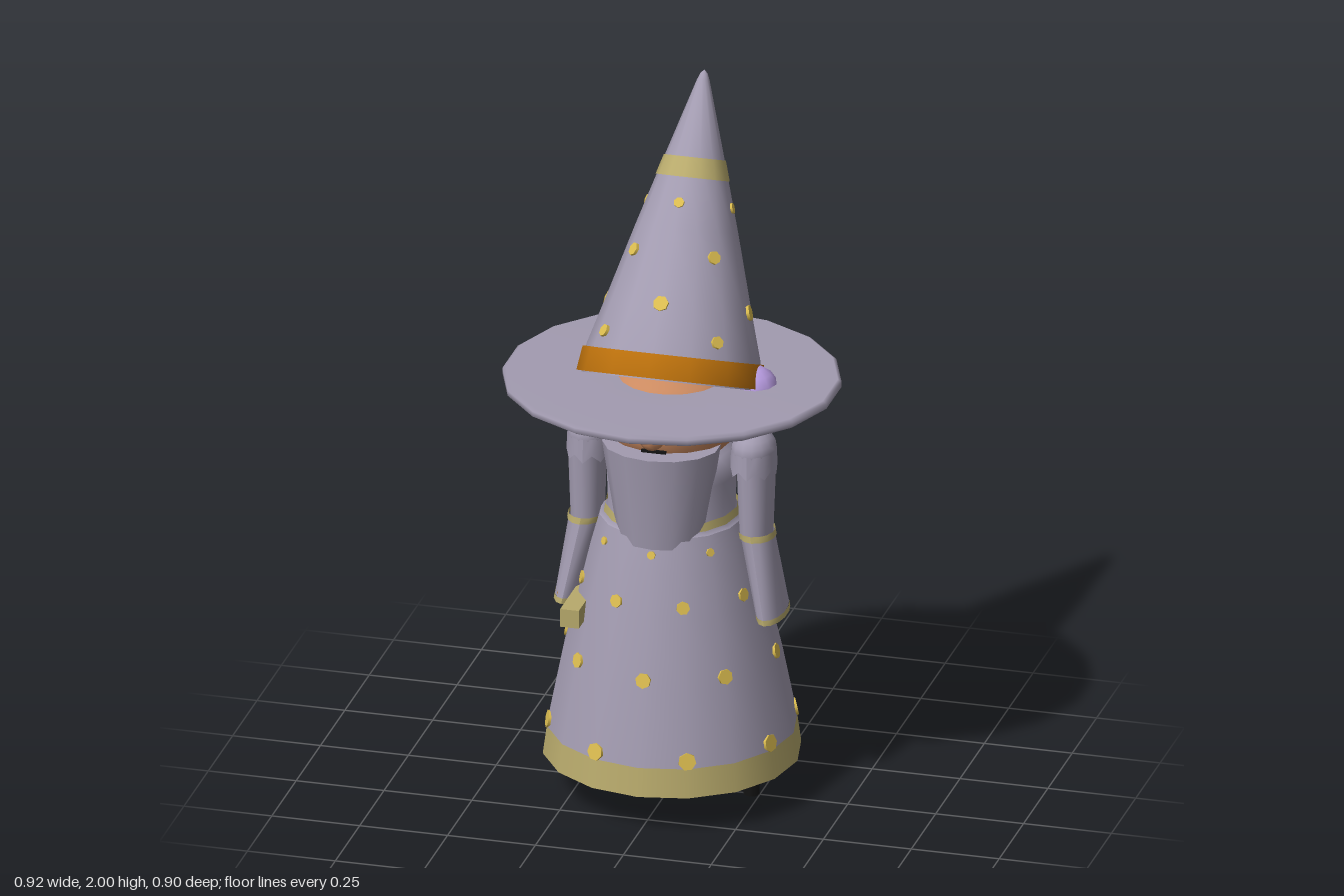
import * as THREE from 'three';

const mat = (name, color, side = THREE.DoubleSide) => {
  const m = new THREE.MeshStandardMaterial({ color, side });
  m.name = name;
  return m;
};

export function createModel() {
  const cloth = mat('greyCloth', 0xa29bb0);
  const trim = mat('paleGoldTrim', 0xb8aa6c);
  const yellow = mat('yellowDots', 0xdcbd50);
  const leather = mat('orangeBand', 0xb96f0c);
  const skin = mat('skin', 0xcb8a60);
  const black = mat('black', 0x131313);
  const purple = mat('purpleOrb', 0xb79be0);
  const blue = mat('blueEyes', 0x7fa0c8);

  const root = new THREE.Group();
  const add = (name, geo, material, parent = root, x = 0, y = 0, z = 0) => {
    const m = new THREE.Mesh(geo, material);
    m.name = name;
    m.position.set(x, y, z);
    parent.add(m);
    return m;
  };
  const lathe = (pts, seg) => new THREE.LatheGeometry(pts.map(p => new THREE.Vector2(p[0], p[1])), seg);
  // radius of a profile (bottom to top) at height y
  const radiusAt = (pts, y) => {
    for (let i = 1; i < pts.length; i++) {
      const [r0, y0] = pts[i - 1], [r1, y1] = pts[i];
      if (y <= y1) return r0 + (r1 - r0) * (y - y0) / (y1 - y0);
    }
    return pts[pts.length - 1][0];
  };
  // ring of thin round dots lying on a lathed surface
  const dotRing = (name, profile, y, count, offset, size, parent) => {
    const r = radiusAt(profile, y);
    const slope = (radiusAt(profile, y - 0.02) - radiusAt(profile, y + 0.02)) / 0.04;
    for (let i = 0; i < count; i++) {
      const a = offset + i / count * Math.PI * 2;
      const dot = add(name, new THREE.CylinderGeometry(size, size, 0.009, 7), yellow, parent,
        Math.sin(a) * (r - 0.001), y, Math.cos(a) * (r - 0.001));
      const n = new THREE.Vector3(Math.sin(a), slope, Math.cos(a)).normalize();
      dot.quaternion.setFromUnitVectors(new THREE.Vector3(0, 1, 0), n);
    }
  };

  // robe: open skirt, hem, belt and bodice
  const skirt = [[0.346, 0.195], [0.305, 0.4], [0.257, 0.6], [0.228, 0.72], [0.2, 0.82]];
  add('skirt', lathe(skirt, 16), cloth);
  add('hem', lathe([[0.357, 0.113], [0.346, 0.195]], 16), trim);
  add('bodice', lathe([[0.2, 0.82], [0.176, 0.84], [0.18, 0.95], [0.165, 1.02], [0.08, 1.05]], 16), cloth);
  add('belt', lathe([[0.19, 0.822], [0.184, 0.853]], 16), trim);
  dotRing('skirtDot', skirt, 0.775, 8, 0, 0.012, root);
  dotRing('skirtDot', skirt, 0.635, 8, Math.PI / 8, 0.019, root);
  dotRing('skirtDot', skirt, 0.435, 8, 0, 0.022, root);
  dotRing('skirtDot', skirt, 0.216, 8, Math.PI / 8, 0.025, root);

  // head and face
  const head = add('head', new THREE.SphereGeometry(0.2, 18, 12), skin, root, 0, 1.13, 0);
  head.scale.y = 0.77;
  add('nose', new THREE.SphereGeometry(0.037, 12, 8), skin, root, 0, 1.125, 0.205);
  add('mouth', new THREE.BoxGeometry(0.07, 0.008, 0.008), black, root, 0, 1.076, 0.189);
  for (const s of [1, -1]) {
    const eye = new THREE.Group();
    eye.name = 'eye';
    eye.position.set(s * 0.067, 1.165, 0.184);
    eye.rotation.y = s * 0.35;
    root.add(eye);
    add('iris', new THREE.BoxGeometry(0.038, 0.032, 0.009), blue, eye);
    add('pupil', new THREE.BoxGeometry(0.014, 0.016, 0.009), black, eye, 0, 0, 0.002);
    const brow = add('eyebrow', new THREE.BoxGeometry(0.08, 0.016, 0.02), cloth, root, s * 0.07, 1.196, 0.18);
    brow.rotation.set(0, s * 0.35, s * 0.2);
  }
  const beard = add('beard', new THREE.CylinderGeometry(0.165, 0.122, 0.28, 14), cloth, root, 0, 0.93, 0.108);
  beard.scale.z = 0.83;

  // flat wide brim
  const brim = add('hatBrim', lathe([[0.12, 1.209], [0.44, 1.205], [0.45, 1.211], [0.45, 1.226],
    [0.44, 1.233], [0.12, 1.231]], 18), cloth);
  brim.scale.x = 1.04;

  // leaning cone of the hat with its band, stripe and dots
  const hat = new THREE.Group();
  hat.name = 'hat';
  hat.position.y = 1.25;
  hat.rotation.x = -24 * Math.PI / 180;
  root.add(hat);
  const cone = [[0.246, -0.04], [0.24, 0.04], [0.203, 0.165], [0.142, 0.38], [0.088, 0.56],
    [0.018, 0.79], [0.01, 0.81], [0, 0.82]];
  add('hatCone', lathe(cone, 14), cloth, hat);
  add('hatBand', lathe([[0.246, -0.036], [0.26, -0.036], [0.25, 0.032], [0.238, 0.032]], 14), leather, hat);
  add('hatStripe', lathe([0.522, 0.56, 0.578].map(t => [radiusAt(cone, t) + 0.003, t]), 14), trim, hat);
  dotRing('hatDot', cone, 0.17, 4, 0, 0.022, hat);
  dotRing('hatDot', cone, 0.31, 4, Math.PI / 4, 0.019, hat);
  dotRing('hatDot', cone, 0.45, 4, 0, 0.015, hat);
  dotRing('hatDot', cone, 0.08, 4, Math.PI / 4, 0.018, hat);

  // flared, outward-leaning sleeve section between two heights
  const sleeve = (y0, y1, s, grow = 0) => {
    const g = new THREE.CylinderGeometry(1, 1, 1, 14, 1, true);
    const p = g.attributes.position;
    for (let i = 0; i < p.count; i++) {
      const y = p.getY(i) > 0 ? y1 : y0;
      const k = (0.785 - y) / 0.235;
      p.setXYZ(i, s * (0.243 + 0.045 * k) + p.getX(i) * (0.047 - 0.008 * k + grow), y,
        p.getZ(i) * (0.064 + 0.033 * k + grow));
    }
    g.computeVertexNormals();
    return g;
  };

  for (const s of [1, -1]) {
    const arm = new THREE.Group();
    arm.name = s > 0 ? 'leftArm' : 'rightArm';
    root.add(arm);
    // puffed shoulder with scalloped edge
    const ball = add('shoulder', new THREE.SphereGeometry(0.062, 14, 10), cloth, arm, s * 0.233, 1.035, 0);
    ball.scale.z = 1.2;
    const scallop = new THREE.CylinderGeometry(0.062, 0.064, 0.06, 16, 1, true);
    const p = scallop.attributes.position;
    for (let i = 0; i < p.count; i++) {
      if (p.getY(i) < 0) p.setY(i, i % 2 ? -0.04 : -0.018);
    }
    scallop.computeVertexNormals();
    add('shoulderScallop', scallop, cloth, arm, s * 0.233, 1.005, 0).scale.z = 1.2;
    const upper = add('upperArm', new THREE.CylinderGeometry(0.054, 0.046, 0.22, 14), cloth, arm, s * 0.24, 0.895, 0);
    upper.scale.z = 1.3;
    add('cuff', sleeve(0.778, 0.796, s, 0.004), trim, arm);
    add('sleeve', sleeve(0.562, 0.785, s), cloth, arm);
    add('sleeveHem', sleeve(0.548, 0.563, s, 0.001), trim, arm);
    const lining = add('sleeveLining', new THREE.CylinderGeometry(1, 1, 0.006, 14), leather, arm, s * 0.286, 0.57, 0);
    lining.scale.set(0.037, 1, 0.092);

    // leg and wedge-shaped shoe
    add('leg', new THREE.BoxGeometry(0.1, 0.25, 0.1), black, root, s * 0.097, 0.215, 0);
    const shoe = new THREE.BoxGeometry(0.13, 0.07, 0.21);
    const q = shoe.attributes.position;
    for (let i = 0; i < q.count; i++) if (q.getY(i) > 0) q.setZ(i, q.getZ(i) * 0.75);
    shoe.computeVertexNormals();
    add('shoe', shoe, black, root, s * 0.098, 0.083, 0.035);
  }

  // small box carried in the right hand
  add('heldBox', new THREE.BoxGeometry(0.053, 0.053, 0.22), trim, root, -0.228, 0.566, 0.12);

  // staff with collar and orb
  add('staff', new THREE.CylinderGeometry(0.023, 0.023, 1.15, 8), black, root, 0.226, 0.575, 0);
  add('staffCollar', new THREE.CylinderGeometry(0.04, 0.03, 0.05, 10), black, root, 0.228, 1.11, 0);
  add('staffOrb', new THREE.SphereGeometry(0.069, 10, 8), purple, root, 0.233, 1.21, 0);

  return root;
}
